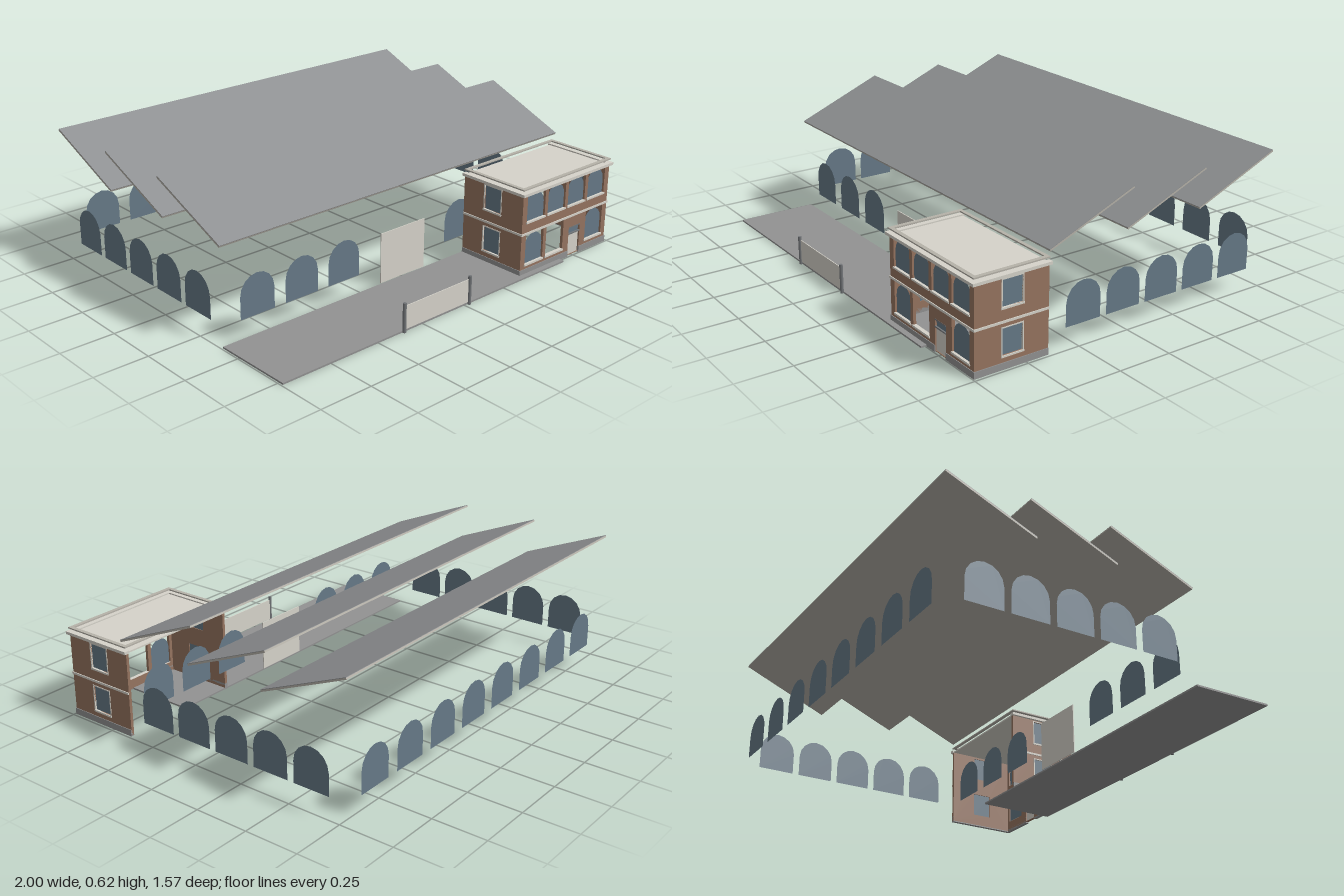
import * as THREE from 'three';

const mat = (name, color, double) => {
  const m = new THREE.MeshStandardMaterial({ color });
  m.name = name;
  if (double) m.side = THREE.DoubleSide;
  return m;
};

export function createModel() {
  const root = new THREE.Group();
  root.name = 'factory';
  const brick = mat('brick', 0x967460);
  const glass = mat('glass', 0x667987, true);
  const trim = mat('paleTrim', 0xd6d3ca, true);
  const roofing = mat('roofing', 0x8e9092);
  const concrete = mat('concrete', 0xb6b2a9);
  const paving = mat('paving', 0x929292);
  const steel = mat('steel', 0x74777a);

  const add = (name, geometry, material, parent = root) => {
    const m = new THREE.Mesh(geometry, material);
    m.name = name;
    parent.add(m);
    return m;
  };
  // box given by its bounds
  const box = (name, material, x0, x1, y0, y1, z0, z1, parent) => {
    const m = add(name, new THREE.BoxGeometry(x1 - x0, y1 - y0, z1 - z0), material, parent);
    m.position.set((x0 + x1) / 2, (y0 + y1) / 2, (z0 + z1) / 2);
    return m;
  };
  const rectPath = (s, x0, x1, y0, y1) => {
    s.moveTo(x0, y0); s.lineTo(x1, y0); s.lineTo(x1, y1); s.lineTo(x0, y1); s.closePath();
    return s;
  };
  // flat pane with a faceted round top
  const archPane = (w, h) => {
    const s = new THREE.Shape(), r = w / 2;
    s.moveTo(-r, 0);
    s.lineTo(r, 0);
    for (let i = 0; i <= 8; i++) {
      const a = (i / 8) * Math.PI;
      s.lineTo(Math.cos(a) * r, h - r + Math.sin(a) * r);
    }
    s.closePath();
    return new THREE.ShapeGeometry(s);
  };

  // saw-tooth roof
  const rise = 0.17, run = 0.412, tilt = Math.atan2(rise, run), len = Math.hypot(rise, run);
  for (let i = 0; i < 3; i++) {
    const g = new THREE.Group();
    g.name = 'roofSlope' + (i + 1);
    g.position.set(0, 0.533, 0.198 - i * 0.387);
    g.rotation.x = tilt;
    box('roofSlab', concrete, -1, 1, -0.005, 0.003, -len / 2, len / 2, g);
    box('roofSheet', roofing, -1, 1, 0.003, 0.005, -len / 2, len / 2, g);
    root.add(g);
  }

  // hall windows
  const hallPane = archPane(0.174, 0.187);
  const hallWindow = (x, z, turn) => {
    const m = add('hallWindow', hallPane, glass);
    m.position.set(x, 0.091, z);
    m.rotation.y = turn;
  };
  for (let i = 0; i < 8; i++) {
    const x = -0.812 + i * 0.232;
    hallWindow(x, -0.777, Math.PI);
    if (i !== 3 && i !== 4) hallWindow(x, 0.392, 0);
  }
  for (let i = 0; i < 5; i++) {
    const z = 0.221 - i * 0.2055;
    hallWindow(0.985, z, Math.PI / 2);
    hallWindow(-0.985, z, -Math.PI / 2);
  }
  box('hallDoor', trim, -0.134, 0.13, 0.01, 0.246, 0.39, 0.394);

  // yard and sliding gate
  box('yard', paving, -0.993, 0.385, 0, 0.008, 0.395, 0.772);
  box('yardApron', paving, 0.385, 0.657, 0, 0.008, 0.395, 0.772);
  box('gate', trim, -0.355, 0.02, 0.012, 0.118, 0.772, 0.776);
  for (const x of [-0.36, 0.024]) {
    const post = add('gatePost', new THREE.CylinderGeometry(0.008, 0.008, 0.134, 8), steel);
    post.position.set(x, 0.067, 0.776);
  }

  // office
  const office = new THREE.Group();
  office.name = 'office';
  root.add(office);
  const X0 = 0.385, X1 = 0.985, Z0 = 0.393, Z1 = 0.743, TOP = 0.388, T = 0.014;
  const wallGeometry = (u0, u1, holes) => {
    const s = rectPath(new THREE.Shape(), u0, u1, 0.005, TOP);
    for (const h of holes) s.holes.push(rectPath(new THREE.Path(), ...h));
    return new THREE.ExtrudeGeometry(s, { depth: T, bevelEnabled: false });
  };

  // front wall with its openings
  const bays = [0.475, 0.615, 0.755, 0.895], half = 0.06;
  const holes = [[0.716, 0.794, 0.008, 0.145]];
  bays.forEach((x, i) => {
    holes.push([x - half, x + half, 0.255, 0.386]);
    if (i !== 2) holes.push([x - half, x + half, 0.052, 0.196]);
  });
  add('frontWall', wallGeometry(X0, X1, holes), brick, office).position.z = Z1 - T;
  const upperPane = archPane(0.116, 0.128), lowerPane = archPane(0.116, 0.138);
  bays.forEach((x, i) => {
    add('upperWindow', upperPane, glass, office).position.set(x, 0.257, Z1 - 0.008);
    box('upperSill', trim, x - half - 0.004, x + half + 0.004, 0.249, 0.257, Z1 - T, Z1 + 0.004, office);
    if (i === 2) return;
    box('lowerSill', trim, x - half - 0.004, x + half + 0.004, 0.044, 0.053, Z1 - T, Z1 + 0.004, office);
    if (i !== 1) add('lowerWindow', lowerPane, glass, office).position.set(x, 0.053, Z1 - 0.008);
  });

  // entrance
  box('door', trim, 0.72, 0.79, 0.008, 0.108, Z1 - 0.01, Z1 - 0.004, office);
  box('doorTransom', steel, 0.716, 0.794, 0.108, 0.114, Z1 - 0.012, Z1 + 0.001, office);
  box('fanlight', glass, 0.72, 0.79, 0.114, 0.14, Z1 - 0.01, Z1 - 0.006, office);
  box('doorLintel', steel, 0.716, 0.794, 0.14, 0.146, Z1 - 0.012, Z1 + 0.001, office);

  // side walls, framed windows
  const c = 0.566, w = 0.048, levels = [[0.06, 0.175], [0.262, 0.376]];
  const sideHoles = levels.map(([a, b]) => [c - w, c + w, a, b]);
  for (const side of [1, -1]) {
    const outer = side > 0 ? X1 : X0;
    const wall = add('sideWall', wallGeometry(Z0, Z1 - T, sideHoles).rotateY(-Math.PI / 2), brick, office);
    wall.position.x = side > 0 ? X1 : X0 + T;
    const plate = (name, m, y0, y1, z0, z1, d0, d1) => {
      const a = outer + side * d0, b = outer + side * d1;
      box(name, m, Math.min(a, b), Math.max(a, b), y0, y1, z0, z1, office);
    };
    for (const [a, b] of levels) {
      plate('sideWindow', glass, a, b, c - w, c + w, -0.01, -0.006);
      plate('sideSill', trim, a - 0.008, a, c - w - 0.006, c + w + 0.006, -0.01, 0.004);
      plate('sideHead', trim, b, b + 0.005, c - w - 0.005, c + w + 0.005, -0.01, 0.002);
      plate('sideJamb', trim, a, b, c - w - 0.005, c - w, -0.01, 0.002);
      plate('sideJamb', trim, a, b, c + w, c + w + 0.005, -0.01, 0.002);
    }
    plate('sidePlinth', paving, 0, 0.03, Z0, Z1 + 0.003, -T, 0.003);
    plate('sideBand', trim, 0.197, 0.207, Z0, Z1 + 0.004, -0.005, 0.004);
    plate('sideCornice', trim, 0.386, 0.399, Z0 - 0.006, Z1 + 0.013, -0.012, 0.012);
    plate('sideCoping', concrete, 0.412, 0.418, Z0, Z1 + 0.004, -0.014, 0.004);
  }
  box('frontPlinth', paving, X0, 0.716, 0, 0.03, Z1 - T, Z1 + 0.003, office);
  box('frontPlinth', paving, 0.794, X1, 0, 0.03, Z1 - T, Z1 + 0.003, office);
  box('frontBand', trim, X0, X1, 0.197, 0.207, Z1 - 0.005, Z1 + 0.004, office);
  box('frontCornice', trim, X0, X1, 0.386, 0.399, Z1 - 0.012, Z1 + 0.013, office);
  box('frontCoping', concrete, X0, X1, 0.412, 0.418, Z1 - 0.014, Z1 + 0.004, office);
  box('backCoping', concrete, X0, X1, 0.412, 0.418, Z0, Z0 + 0.016, office);
  box('officeRoof', trim, X0 + 0.01, X1 - 0.01, 0.386, 0.393, Z0, Z1 - 0.01, office);

  return root;
}
